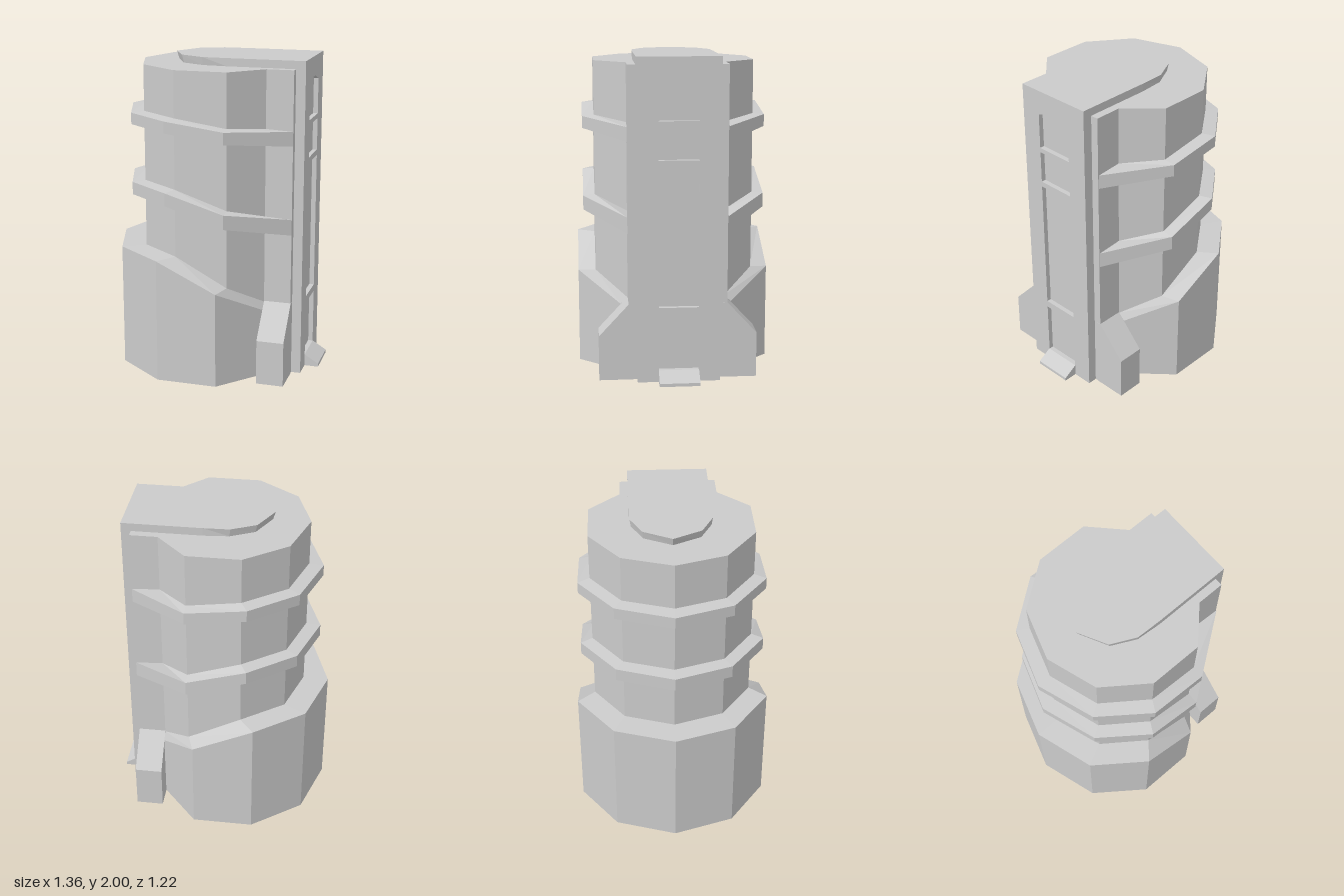
import * as THREE from 'three';

const grey = new THREE.MeshStandardMaterial({ color: 0xcccccc, flatShading: true });

const shapeOf = (pts) => new THREE.Shape(pts.map(([x, y]) => new THREE.Vector2(x, y)));

// half outline (z >= 0) mirrored into a closed plan
const mirrorPlan = (half) => [...half, ...half.filter((p) => p[1] > 0).reverse().map(([x, z]) => [x, -z])];

const extrude = (shape, depth) => new THREE.ExtrudeGeometry(shape, { depth, bevelEnabled: false });

// vertical prism from a plan
const prism = (half, y0, y1) =>
  extrude(shapeOf(mirrorPlan(half)), y1 - y0).rotateX(-Math.PI / 2).translate(0, y0, 0);

// extrusion along x of a shape drawn in the z-y plane
const alongX = (shape, x0, x1) => extrude(shape, x1 - x0).rotateY(Math.PI / 2).translate(x0, 0, 0);

// band wrapped round the tower; station: [outer x, outer z, inner x, inner z, bottom, outer top, inner top]
function band(half) {
  const back = half.slice(0, -1).reverse().map(([ox, oz, ix, iz, ...y]) => [ox, -oz, ix, -iz, ...y]);
  const loops = [...half, ...back].map(([ox, oz, ix, iz, b, t, it]) => [
    [ox, b, oz], [ox, t, oz], [ix, it, iz], [ix, b, iz],
  ]);
  const pos = [];
  for (let i = 0; i < loops.length - 1; i++) {
    for (let j = 0; j < 4; j++) {
      const k = (j + 1) % 4;
      const [a, b, c, d] = [loops[i][j], loops[i][k], loops[i + 1][k], loops[i + 1][j]];
      pos.push(...a, ...b, ...c, ...a, ...c, ...d);
    }
  }
  const g = new THREE.BufferGeometry();
  g.setAttribute('position', new THREE.Float32BufferAttribute(pos, 3));
  g.computeVertexNormals();
  return g;
}

export function createModel() {
  const model = new THREE.Group();
  model.name = 'tower';
  const add = (name, geometry) => {
    const mesh = new THREE.Mesh(geometry, grey);
    mesh.name = name;
    model.add(mesh);
    return mesh;
  };

  // faceted tower body
  const wall = [[0.36, 0.305], [0.17, 0.5], [-0.16, 0.5], [-0.42, 0.31], [-0.52, 0]];
  add('towerBody', prism([[0.53, 0.305], ...wall], 0, 1.95));

  // wide base with a top that slopes down towards the entrance
  const baseOuter = [[0.36, 0.35], [0.13, 0.61], [-0.25, 0.61], [-0.56, 0.38], [-0.68, 0]];
  const baseTop = [[0.44, 0.48], [0.605, 0.615], [0.785, 0.79], [0.785, 0.79], [0.785, 0.79]];
  add('base', band(baseOuter.map((p, i) => [...p, ...wall[i], 0, ...baseTop[i]])));

  // two ledges that dip towards the entrance
  const ledgeOuter = [[0.53, 0.31], [0.17, 0.573], [-0.2, 0.573], [-0.49, 0.355], [-0.61, 0]];
  const ledges = {
    lowerLedge: [[0.93, 1.03], [1.01, 1.1], [1.13, 1.21], [1.13, 1.21], [1.13, 1.21]],
    upperLedge: [[1.49, 1.58], [1.53, 1.605], [1.58, 1.652], [1.58, 1.652], [1.58, 1.652]],
  };
  for (const [name, levels] of Object.entries(ledges)) {
    add(name, band(ledgeOuter.map((p, i) => [...p, ...wall[i], ...levels[i], levels[i][1] + 0.008])));
  }

  // entrance shaft and its round-nosed roof plate
  const shaft = new THREE.BoxGeometry(0.26, 1.95, 0.51);
  add('entranceShaft', shaft.translate(0.43, 0.975, 0));
  const roof = prism([[0.56, 0.255], [0.1, 0.255], [-0.06, 0.25], [-0.213, 0.176], [-0.305, 0]], 1.95, 2);
  const p = roof.attributes.position;
  for (let i = 0; i < p.count; i++) {
    if (p.getY(i) < 1.97 && p.getX(i) < 0) p.setXYZ(i, p.getX(i) * 0.95, p.getY(i), p.getZ(i) * 0.97);
  }
  roof.computeVertexNormals();
  add('roofPlate', roof);

  // front facing with recessed door and window panels
  const facing = shapeOf([[-0.255, 0], [0.255, 0], [0.255, 2], [-0.255, 2]]);
  const w = 0.123;
  for (const [y0, y1, peak] of [[0.02, 0.43, 0], [0.475, 1.35, 0], [1.385, 1.59, 0], [1.62, 1.845, 1.875]]) {
    const top = peak ? [[w, y1], [0.025, peak], [-0.025, peak], [-w, y1]] : [[w, y1], [-w, y1]];
    facing.holes.push(shapeOf([[-w, y0], [w, y0], ...top]));
  }
  add('entranceFacing', alongX(facing, 0.56, 0.59));

  // sloped doorstep
  const step = shapeOf([[0.55, 0], [0.68, 0], [0.68, 0.02], [0.59, 0.075], [0.55, 0.075]]);
  add('doorstep', extrude(step, 0.25).translate(0, 0, -0.125));

  // buttresses either side of the entrance
  for (const [name, s] of [['frontButtress', -1], ['backButtress', 1]]) {
    const profile = [[0.28, 0], [0.49, 0], [0.49, 0.285], [0.305, 0.485], [0.28, 0.485]];
    add(name, alongX(shapeOf(profile.map(([z, y]) => [s * z, y])), 0.36, 0.532));
  }

  return model;
}
